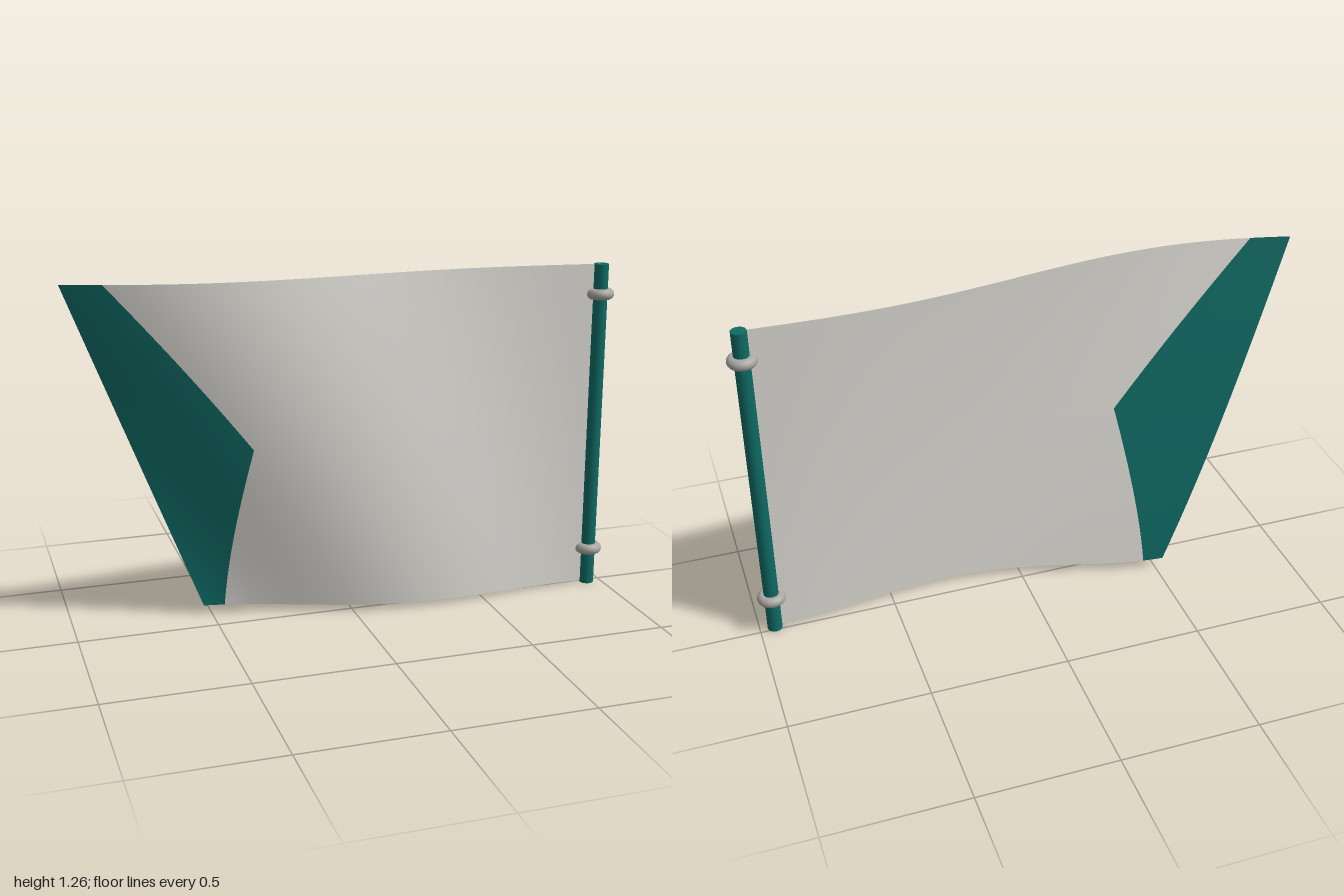
import * as THREE from 'three';

const POLE_X = 0.945, POLE_Z = 0.015;

// Cloth point: u runs from the pole (0) to the free edge (1), v from bottom to top
function clothPoint(u, v) {
  const freeX = THREE.MathUtils.lerp(-0.53, -1, v);
  const x = THREE.MathUtils.lerp(POLE_X, freeX, u);
  const y = THREE.MathUtils.lerp(0.005 + 0.03 * u, 1.232 + 0.028 * u, v);
  const z = POLE_Z + 0.122 * u * Math.sin(4.76 * u - 0.05 - 1.57 * v);
  return [x, y, z];
}

// Edge of the coloured wedge: a blunt point at mid height
const wedgeEdge = (v) => v < 0.51
  ? THREE.MathUtils.lerp(0.949, 0.766, v / 0.51)
  : THREE.MathUtils.lerp(0.766, 0.93, (v - 0.51) / 0.49);

function clothGeometry() {
  const mainCols = 48, wedgeCols = 14, rows = 100;
  const cols = mainCols + wedgeCols;
  const positions = [];
  for (let j = 0; j <= rows; j++) {
    const v = j / rows, edge = wedgeEdge(v);
    for (let i = 0; i <= cols; i++) {
      const u = i <= mainCols
        ? edge * i / mainCols
        : edge + (1 - edge) * (i - mainCols) / wedgeCols;
      positions.push(...clothPoint(u, v));
    }
  }
  const index = [];
  const addCells = (from, to) => {
    for (let j = 0; j < rows; j++) {
      for (let i = from; i < to; i++) {
        const a = j * (cols + 1) + i, b = a + 1, c = a + cols + 1, d = c + 1;
        index.push(a, c, b, b, c, d);
      }
    }
  };
  addCells(0, mainCols);
  const mainCount = index.length;
  addCells(mainCols, cols);

  const g = new THREE.BufferGeometry();
  g.setAttribute('position', new THREE.Float32BufferAttribute(positions, 3));
  g.setIndex(index);
  g.addGroup(0, mainCount, 0);
  g.addGroup(mainCount, index.length - mainCount, 1);
  g.computeVertexNormals();
  return g;
}

export function createModel() {
  const teal = new THREE.MeshStandardMaterial({ color: 0x0f6a64 });
  teal.name = 'teal';
  const cream = new THREE.MeshStandardMaterial({ color: 0xdedcd6 });
  cream.name = 'paleGrey';
  const metal = new THREE.MeshStandardMaterial({ color: 0xa8a7a2 });
  metal.name = 'ringGrey';
  // The cloth is a single open sheet
  teal.side = cream.side = THREE.DoubleSide;

  const model = new THREE.Group();
  model.name = 'flag';
  const add = (name, geometry, material, x, y, z) => {
    const mesh = new THREE.Mesh(geometry, material);
    mesh.name = name;
    mesh.position.set(x, y, z);
    model.add(mesh);
    return mesh;
  };

  // Rippling cloth with a coloured wedge at the free edge
  add('cloth', clothGeometry(), [cream, teal], 0, 0, 0);

  // Pole
  add('pole', new THREE.CylinderGeometry(0.027, 0.027, 1.232, 24), teal, POLE_X, 0.616, POLE_Z);

  // Rings holding the cloth to the pole
  const ring = new THREE.TorusGeometry(0.031, 0.02, 16, 32).rotateX(Math.PI / 2);
  add('lowerRing', ring, metal, POLE_X, 0.14, POLE_Z);
  add('upperRing', ring, metal, POLE_X, 1.123, POLE_Z);

  return model;
}
